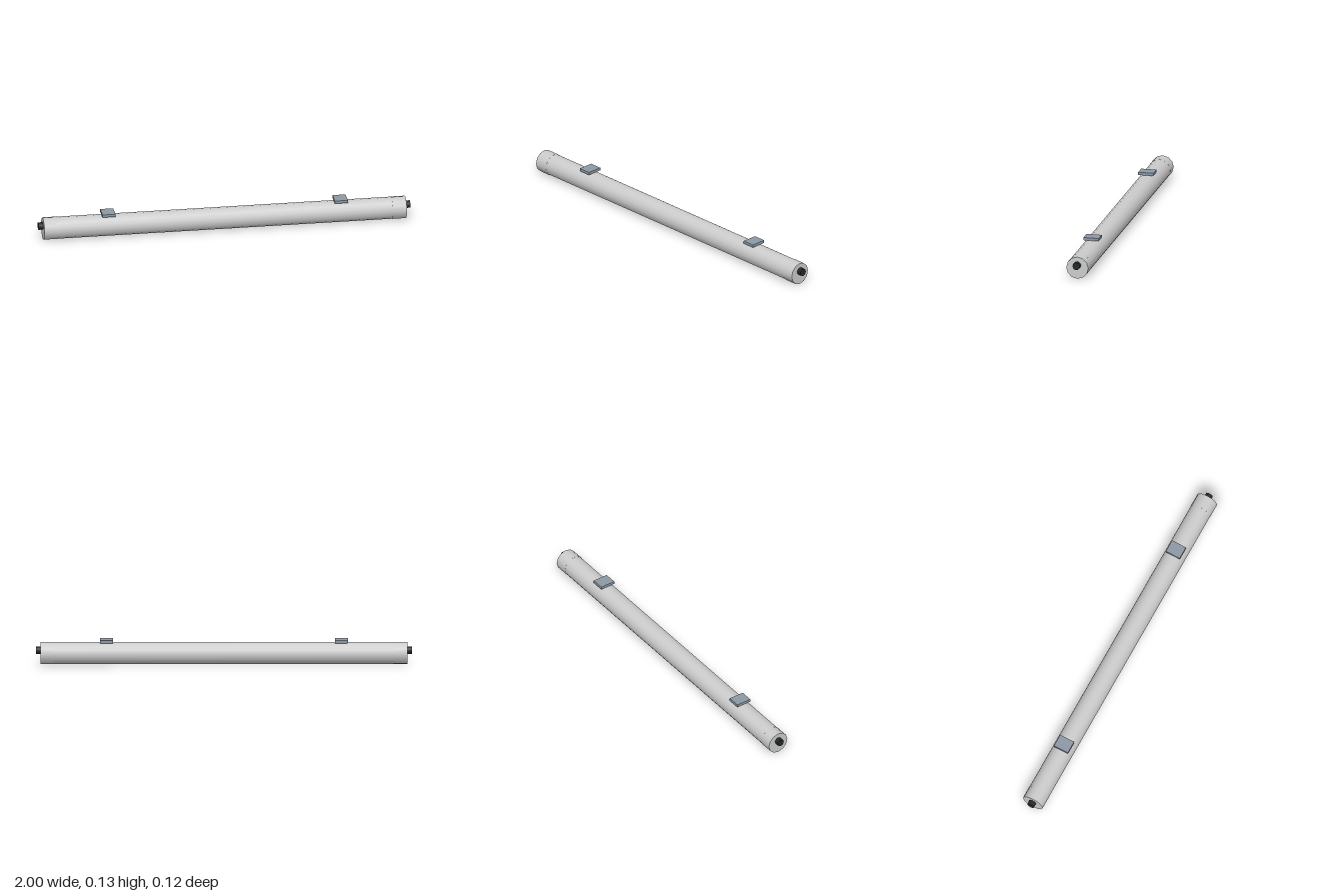
import * as THREE from 'three';

const AXIS_Y = 0.06;

export function createModel() {
  const model = new THREE.Group();
  model.name = 'tubeLamp';

  const tubeMat = new THREE.MeshStandardMaterial({ color: 0xcccccc });
  const capMat = new THREE.MeshStandardMaterial({ color: 0xd8dcdc });
  const clipMat = new THREE.MeshStandardMaterial({ color: 0x8c98a4 });
  const pinMat = new THREE.MeshStandardMaterial({ color: 0x22282c });

  function add(name, geometry, material, x, y) {
    const mesh = new THREE.Mesh(geometry, material);
    mesh.name = name;
    mesh.position.set(x, y, 0);
    model.add(mesh);
  }

  // Cylinder lying along x, with a corner pointing straight up
  function rod(radius, length, sides) {
    return new THREE.CylinderGeometry(radius, radius, length, sides)
      .rotateY(Math.PI / 2)
      .rotateZ(Math.PI / 2);
  }

  // Long tube between the caps
  add('tube', rod(0.0588, 1.82, 16), tubeMat, 0, AXIS_Y);

  // Matching fittings at both ends
  for (const [side, s] of [['left', 1], ['right', -1]]) {
    add(side + 'EndCap', rod(0.06, 0.075, 12), capMat, s * 0.9375, AXIS_Y);
    add(side + 'CableGland', rod(0.02, 0.04, 12), pinMat, s * 0.98, 0.075);
    add(side + 'MountingClip', new THREE.BoxGeometry(0.07, 0.015, 0.084), clipMat, s * 0.625, 0.127);
  }

  return model;
}
